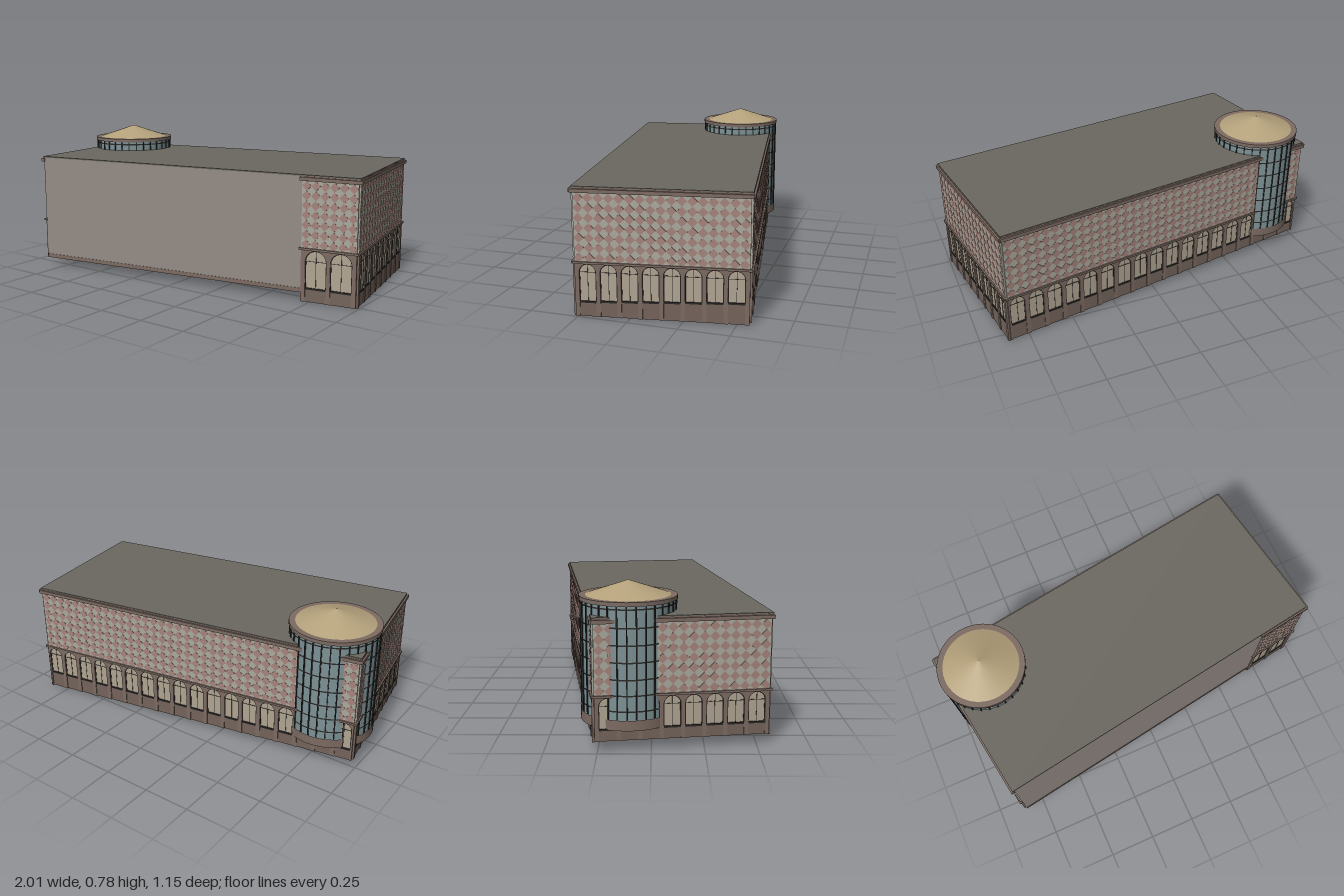
import * as THREE from 'three';
import { mergeGeometries } from 'three/addons/utils/BufferGeometryUtils.js';

const mat = (color) => new THREE.MeshStandardMaterial({ color, side: THREE.DoubleSide });
const M = {
  plain: mat(0x958c86), roof: mat(0x6b6860), stone: mat(0x7c6b62), pink: mat(0xa5837b),
  pale: mat(0xa9a99e), pane: mat(0xb0a592), dark: mat(0x2a2826), dome: mat(0xb5a27c),
  glass: mat(0x7d9296), panel: mat(0x74645b),
};

function add(parent, name, geometry, material, x = 0, y = 0, z = 0) {
  const mesh = new THREE.Mesh(geometry, material);
  mesh.name = name;
  mesh.position.set(x, y, z);
  parent.add(mesh);
  return mesh;
}
const box = (w, h, d, x = 0, y = 0, z = 0) => new THREE.BoxGeometry(w, h, d).translate(x, y, z);

// heights shared by all decorated walls
const LEDGE = 0.27, CORNICE = 0.61, TOP = 0.635, ARCH_TOP = 0.262;

// A wall running along +x from 0 to len and facing +z; bottom and sill are [start, end] heights
function decoratedWall(name, { len, count, pitch, width, bottom, sill }) {
  const g = new THREE.Group();
  g.name = name;
  const lerp = ([a, b], x) => a + (b - a) * x / len;
  const r = width / 2, spring = ARCH_TOP - r;
  const centres = Array.from({ length: count }, (_, i) => len / 2 + (i - (count - 1) / 2) * pitch);

  // arcade: one slab with an arched slot for each bay
  const s = new THREE.Shape();
  s.moveTo(0, bottom[0]);
  for (const c of centres) {
    s.lineTo(c - r, lerp(bottom, c - r));
    s.lineTo(c - r, spring);
    s.absarc(c, spring, r, Math.PI, 0, true);
    s.lineTo(c + r, lerp(bottom, c + r));
  }
  s.lineTo(len, bottom[1]);
  s.lineTo(len, LEDGE);
  s.lineTo(0, LEDGE);
  add(g, 'arcade', new THREE.ExtrudeGeometry(s, { depth: 0.01, bevelEnabled: false, curveSegments: 12 }), M.stone);

  // window filling of each bay: panes, bars, sill and the panel below
  const panes = [], bars = [], panels = [];
  for (const c of centres) {
    const y = lerp(sill, c), b = lerp(bottom, c);
    const p = new THREE.Shape();
    p.moveTo(c - r, y);
    p.lineTo(c + r, y);
    p.lineTo(c + r, spring);
    p.absarc(c, spring, r, 0, Math.PI, false);
    panes.push(new THREE.ShapeGeometry(p, 12).translate(0, 0, 0.002));
    bars.push(
      box(0.002, ARCH_TOP - y, 0.004, c, (ARCH_TOP + y) / 2, 0.002),
      box(width, 0.002, 0.004, c, spring, 0.002),
      box(width, 0.009, 0.008, c, y, 0.004),
      new THREE.RingGeometry(r - 0.003, r, 16, 1, 0, Math.PI).translate(c, spring, 0.004));
    for (const k of [-1, 1]) bars.push(box(0.003, spring - y, 0.004, c + k * (r - 0.0015), (spring + y) / 2, 0.002));
    panels.push(box(width, y - b, 0.006, c, (y + b) / 2, 0.003));
  }
  add(g, 'windowPanes', mergeGeometries(panes), M.pane);
  add(g, 'windowBars', mergeGeometries(bars), M.dark);
  add(g, 'panelsBelowWindows', mergeGeometries(panels), M.panel);

  // upper wall with a diamond pattern that shows on both faces
  const h = CORNICE - LEDGE;
  add(g, 'upperWall', box(len, h, 0.008, len / 2, LEDGE + h / 2, 0.004), M.pale);
  const cols = Math.round(len / 0.05), rows = 7;
  const dx = len / cols, dy = h / rows, diamonds = [];
  for (let i = 0; i < cols; i++) for (let j = 0; j < rows; j++) {
    diamonds.push(new THREE.CylinderGeometry(0.5, 0.5, 0.011, 4).rotateX(Math.PI / 2)
      .scale(dx, dy, 1).translate((i + 0.5) * dx, LEDGE + (j + 0.5) * dy, 0.004));
  }
  add(g, 'diamondTiles', mergeGeometries(diamonds), M.pink);

  // string course and cornice
  add(g, 'ledge', box(len + 0.02, 0.011, 0.018, len / 2, LEDGE, 0.007), M.stone);
  add(g, 'cornice', box(len + 0.024, 0.018, 0.02, len / 2, CORNICE + 0.009, 0.008), M.stone);
  add(g, 'parapet', box(len + 0.01, TOP - CORNICE, 0.01, len / 2, (TOP + CORNICE) / 2, 0.004), M.stone);
  return g;
}

function tower() {
  const g = new THREE.Group();
  g.name = 'tower';
  const R = 0.226, low = 0.11, high = 0.69;
  add(g, 'glassDrum', new THREE.CylinderGeometry(R, R, high - low, 48, 1, true), M.glass, 0, (high + low) / 2);
  add(g, 'drumFloor', new THREE.CircleGeometry(R, 48).rotateX(Math.PI / 2), M.glass, 0, 0.15);

  // upright and ring bars
  const bars = [];
  for (let i = 0; i < 32; i++) {
    bars.push(box(0.006, high - low, 0.01, 0, (high + low) / 2, R).rotateY(i / 32 * Math.PI * 2));
  }
  for (const y of [0.2, 0.275, 0.35, 0.43, 0.51, 0.59, 0.675]) {
    bars.push(new THREE.CylinderGeometry(R + 0.003, R + 0.003, 0.007, 48, 1, true).translate(0, y, 0));
  }
  add(g, 'drumBars', mergeGeometries(bars), M.dark);

  // base band on the side outside the walls
  const start = Math.PI * 0.74, sweep = Math.PI * 1.02;
  add(g, 'baseBand', new THREE.CylinderGeometry(R + 0.007, R + 0.007, 0.05, 32, 1, true, start, sweep), M.stone, 0, 0.135);

  // rim and shallow conical roof
  const rim = [[0.2, 0.69], [0.234, 0.69], [0.234, 0.709], [0.2, 0.709]].map(([x, y]) => new THREE.Vector2(x, y));
  const rimMesh = add(g, 'roofRim', new THREE.LatheGeometry(rim, 48).toNonIndexed(), M.stone);
  rimMesh.geometry.computeVertexNormals();
  add(g, 'conicalRoof', new THREE.ConeGeometry(0.207, 0.069, 48, 1, true), M.dome, 0, 0.742);
  return g;
}

export function createModel() {
  const model = new THREE.Group();
  model.name = 'building';
  const hall = new THREE.Group();
  hall.name = 'hall';
  hall.rotation.y = THREE.MathUtils.degToRad(9.1);
  model.add(hall);
  const X = 0.93, Z = 0.415;

  // decorated walls: x, z of the start corner, turn, and bay layout
  const bay = { pitch: 0.101, width: 0.08 };
  const walls = [
    ['rightWall', X, Z, Math.PI / 2, { ...bay, len: 2 * Z, count: 8, bottom: [0, 0], sill: [0.07, 0.105] }],
    ['backWall', X, -Z, Math.PI, { ...bay, pitch: 0.1035, len: 2 * X, count: 18, bottom: [0.01, 0.05], sill: [0.1, 0.11] }],
    ['leftWall', -X, -Z, -Math.PI / 2, { ...bay, len: 2 * Z, count: 8, bottom: [0.055, 0.05], sill: [0.11, 0.11] }],
    ['frontCornerWall', 0.645, Z, 0, { len: X - 0.645, count: 2, pitch: 0.13, width: 0.108, bottom: [0, 0], sill: [0.068, 0.068] }],
  ];
  for (const [name, x, z, turn, spec] of walls) {
    const wall = decoratedWall(name, spec);
    wall.position.set(x, 0, z);
    wall.rotation.y = turn;
    hall.add(wall);
  }

  // plain front wall with a strip along its foot, and the flat roof
  const len = X + 0.645;
  add(hall, 'plainFrontWall', box(len, 0.585, 0.006), M.plain, 0.645 - len / 2, 0.3425, Z + 0.003);
  add(hall, 'footStrip', box(len, 0.022, 0.008), M.stone, 0.645 - len / 2, 0.056, Z + 0.004);
  add(hall, 'flatRoof', box(2 * X + 0.016, 0.007, 2 * Z + 0.016), M.roof, 0, 0.6355);

  const drum = tower();
  drum.position.set(-0.767, 0, -0.11);
  model.add(drum);
  return model;
}
